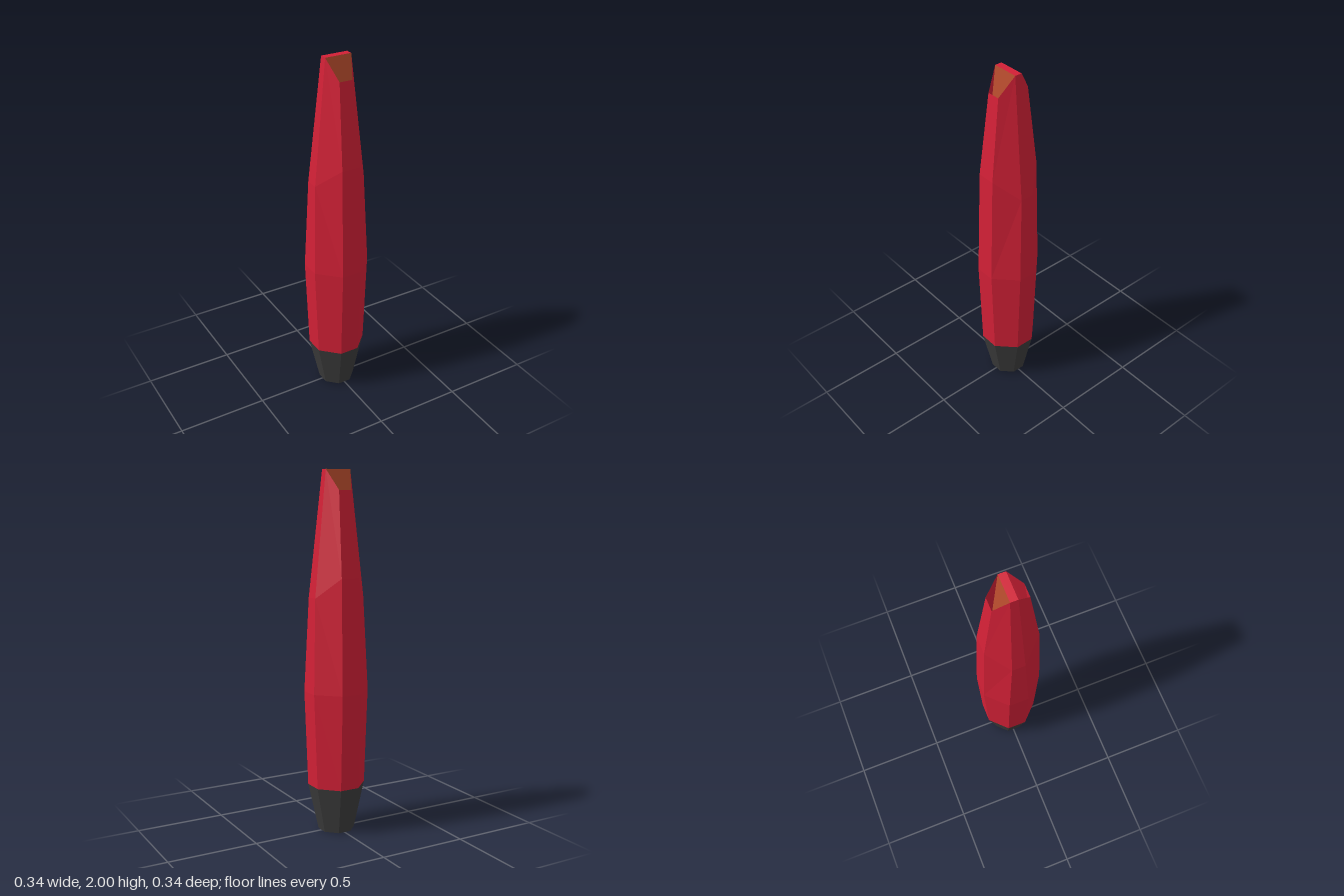
import * as THREE from 'three';

const material = (color) =>
  new THREE.MeshStandardMaterial({ color, flatShading: true, side: THREE.DoubleSide });

// Eight-cornered ring: f is a corner of the front flat, s a corner of the side flat.
function ring(f, s) {
  const [fx, fy, fz] = f, [sx, sy, sz] = s;
  return [
    [fx, fy, fz], [sx, sy, sz], [sx, sy, -sz], [fx, fy, -fz],
    [-fx, fy, -fz], [-sx, sy, -sz], [-sx, sy, sz], [-fx, fy, fz],
  ];
}
const regularRing = (y, apothem, half) => ring([half, y, apothem], [apothem, y, half]);

function makeMesh(name, triangles, mat) {
  const geometry = new THREE.BufferGeometry();
  geometry.setAttribute('position', new THREE.Float32BufferAttribute(triangles.flat(2), 3));
  geometry.computeVertexNormals();
  const mesh = new THREE.Mesh(geometry, mat);
  mesh.name = name;
  return mesh;
}

// Skin between successive rings; the slanted faces split toward the upper side corner.
function loft(rings) {
  const triangles = [];
  for (let r = 0; r < rings.length - 1; r++) {
    for (let i = 0; i < 8; i++) {
      const j = (i + 1) % 8;
      const a = rings[r][i], b = rings[r][j], c = rings[r + 1][j], d = rings[r + 1][i];
      if (i % 4 === 2) triangles.push([a, b, d], [b, c, d]);
      else triangles.push([a, b, c], [a, c, d]);
    }
  }
  return triangles;
}

// Flat polygon as a triangle fan.
const fan = (p) => p.slice(2).map((_, i) => [p[0], p[i + 1], p[i + 2]]);

export function createModel() {
  const model = new THREE.Group();
  model.name = 'taperedHandle';
  const red = material(0xd22036);
  const dark = material(0x3c3c3c);
  const orange = material(0xc05030);
  const black = material(0x111111);

  const foot = regularRing(0, 0.095, 0.037);
  const collar = regularRing(0.265, 0.15, 0.055);
  const belly = regularRing(0.8, 0.17, 0.057);
  const shoulder = ring([0.052, 1.43, 0.15], [0.15, 1.32, 0.037]);
  const tip = ring([0.037, 1.89, 0.095], [0.075, 2, 0.02]);

  // Hollow base and body
  model.add(makeMesh('base', loft([foot, collar]), dark));
  model.add(makeMesh('body', loft([collar, belly, shoulder, tip]), red));

  // Floor inside the hollow, dark on both sides
  model.add(makeMesh('innerFloor', fan(collar), black));

  // Narrow bar across the tip
  model.add(makeMesh('tipBar', fan([tip[6], tip[1], tip[2], tip[5]]), red));

  // Sloping inner panels behind the front and back openings
  model.add(makeMesh('frontInnerPanel', fan([shoulder[6], shoulder[1], tip[1], tip[6]]), orange));
  model.add(makeMesh('backInnerPanel', fan([shoulder[2], shoulder[5], tip[5], tip[2]]), orange));

  return model;
}
